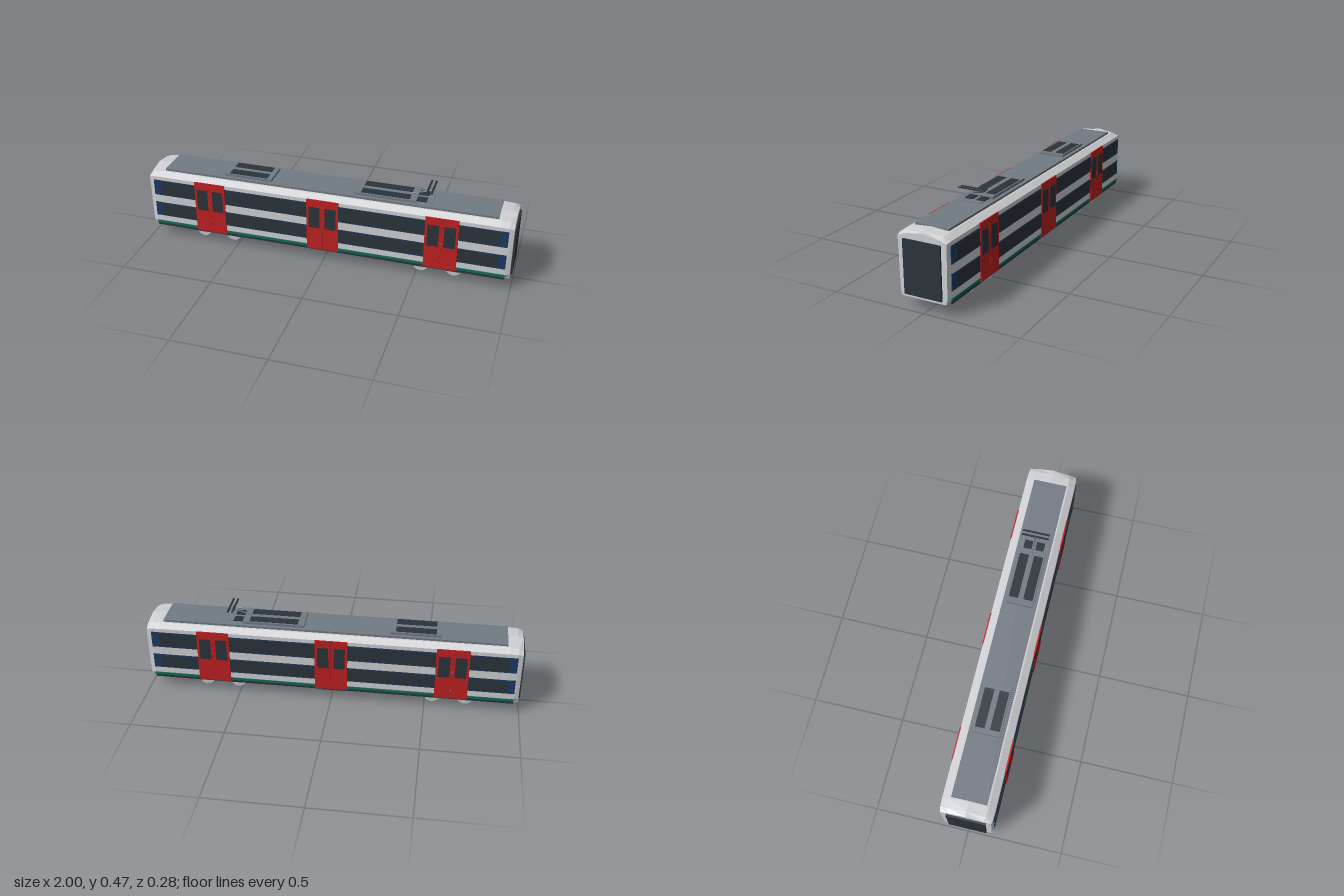
import * as THREE from 'three';

const mat = (name, color, side = THREE.FrontSide) => {
  const m = new THREE.MeshStandardMaterial({ color, side });
  m.name = name;
  return m;
};

export function createModel() {
  const M = {
    body: mat('light grey body', 0xd0d1d4),
    dark: mat('dark glass and equipment', 0x2b343b),
    blue: mat('navy band', 0x1c3a63),
    red: mat('red doors', 0xc02022),
    green: mat('green stripe', 0x0f6e58),
    roof: mat('roof grey', 0x737b83),
    metal: mat('pale metal', 0xc2c5c8),
  };
  const root = new THREE.Group();
  root.name = 'railCar';

  const add = (name, geo, m, parent = root) => {
    const mesh = new THREE.Mesh(geo, m);
    mesh.name = name;
    parent.add(mesh);
    return mesh;
  };
  // Box given by its min and max on each axis
  const box = (name, m, x0, x1, y0, y1, z0, z1, parent = root) => {
    const b = add(name, new THREE.BoxGeometry(x1 - x0, y1 - y0, z1 - z0), m, parent);
    b.position.set((x0 + x1) / 2, (y0 + y1) / 2, (z0 + z1) / 2);
    return b;
  };
  // Round bar between two points
  const rod = (name, m, a, b, r, parent = root) => {
    const p = new THREE.Vector3(...a), d = new THREE.Vector3(...b).sub(p);
    const c = add(name, new THREE.CylinderGeometry(r, r, d.length(), 8), m, parent);
    c.position.copy(p).addScaledVector(d, 0.5);
    c.quaternion.setFromUnitVectors(new THREE.Vector3(0, 1, 0), d.normalize());
    return c;
  };
  const group = (name) => {
    const g = new THREE.Group();
    g.name = name;
    root.add(g);
    return g;
  };

  // Body shell: cross-sections [z, y] lofted along x, narrowing at both ends
  const full = [[0.118, 0.065], [0.136, 0.095], [0.136, 0.369], [0.1, 0.388], [0, 0.396]];
  const end = [[0.118, 0.065], [0.126, 0.09], [0.13, 0.362], [0.09, 0.376], [0, 0.392]];
  const ring = (half) => [...half, ...half.slice(0, -1).reverse().map(([z, y]) => [-z, y])];
  const mix = (t) => full.map(([z, y], i) => [z + (end[i][0] - z) * t, y + (end[i][1] - y) * t]);
  const sections = [[-0.99, 1], [-0.965, 0.25], [-0.92, 0], [0.92, 0], [0.965, 0.25], [0.99, 1]]
    .map(([x, t]) => ring(mix(t)).map(([z, y]) => [x, y, z]));
  const pos = [];
  const n = sections[0].length;
  for (let s = 0; s < sections.length - 1; s++) {
    for (let i = 0; i < n; i++) {
      const j = (i + 1) % n;
      const a = sections[s][i], b = sections[s + 1][i], c = sections[s + 1][j], d = sections[s][j];
      pos.push(...a, ...b, ...c, ...a, ...c, ...d);
    }
  }
  const first = sections[0], last = sections[sections.length - 1];
  for (let i = 1; i < n - 1; i++) {
    pos.push(...first[0], ...first[i], ...first[i + 1]);
    pos.push(...last[0], ...last[i + 1], ...last[i]);
  }
  const shell = new THREE.BufferGeometry();
  shell.setAttribute('position', new THREE.Float32BufferAttribute(pos, 3));
  shell.computeVertexNormals();
  add('bodyShell', shell, M.body);

  // Dark end panels
  for (const s of [-1, 1]) box('endPanel', M.dark, s * 0.994 - 0.006, s * 0.994 + 0.006, 0.08, 0.352, -0.1, 0.1);

  // Sides: window bands, stripe, skirt and doors
  for (const s of [1, -1]) {
    const g = group(s > 0 ? 'frontSide' : 'backSide');
    const plate = (name, m, x0, x1, y0, y1, d0, d1) =>
      box(name, m, x0, x1, y0, y1, Math.min(s * d0, s * d1), Math.max(s * d0, s * d1), g);
    for (const [y0, y1] of [[0.257, 0.348], [0.128, 0.211]]) {
      plate('windowBand', M.blue, -0.965, 0.965, y0, y1, 0.131, 0.1375);
      plate('windowGlass', M.dark, -0.925, 0.925, y0 + 0.005, y1 - 0.005, 0.134, 0.139);
    }
    plate('lowerStripe', M.green, -0.965, 0.965, 0.079, 0.092, 0.13, 0.137);
    plate('skirt', M.dark, -0.965, 0.965, 0.064, 0.076, 0.128, 0.134);
    for (const x of [-0.637, -0.002, 0.63]) {
      for (const k of [-1, 1]) {
        const cx = x + k * 0.0435;
        plate('doorLeaf', M.red, cx - 0.043, cx + 0.043, 0.072, 0.37, 0.13, 0.141);
        plate('doorWindow', M.dark, cx - 0.03, cx + 0.03, 0.204, 0.327, 0.138, 0.1425);
      }
    }
  }

  // Roof plate and equipment units with grilles
  box('roofPlate', M.roof, -0.91, 0.905, 0.388, 0.4, -0.091, 0.091);
  for (const [x0, x1, inset] of [[-0.57, -0.305, 0.027], [0.15, 0.478, 0.035]]) {
    const g = group('roofUnit');
    box('roofUnitCase', M.roof, x0, x1, 0.4, 0.413, -0.072, 0.072, g);
    for (const s of [-1, 1]) {
      box('roofGrille', M.dark, x0 + inset, x1 - inset, 0.408, 0.4145, s * 0.039 - 0.025, s * 0.039 + 0.025, g);
    }
  }

  // Pantograph
  const p = group('pantograph');
  box('pantographBase', M.roof, 0.478, 0.56, 0.4, 0.404, -0.05, 0.05, p);
  for (const s of [-1, 1]) box('baseBeam', M.dark, 0.478, 0.53, 0.403, 0.408, s * 0.033 - 0.022, s * 0.033 + 0.022, p);
  rod('lowerArm', M.roof, [0.44, 0.414, 0], [0.545, 0.445, 0], 0.003, p);
  rod('upperArm', M.roof, [0.545, 0.445, 0], [0.45, 0.462, 0], 0.0025, p);
  rod('headPost', M.roof, [0.545, 0.445, 0], [0.543, 0.461, 0], 0.002, p);
  for (const x of [0.531, 0.555]) {
    box('contactStrip', M.dark, x - 0.005, x + 0.005, 0.463, 0.467, -0.073, 0.073, p);
    rod('headBar', M.roof, [x, 0.461, -0.08], [x, 0.461, 0.08], 0.0018, p);
  }
  box('headBrace', M.roof, 0.53, 0.556, 0.46, 0.463, -0.004, 0.004, p);

  // Underfloor equipment
  box('equipmentCase', M.dark, -0.355, 0.305, 0.037, 0.066, -0.085, 0.085);
  box('centreCase', M.dark, -0.075, 0.055, 0.031, 0.066, -0.092, 0.06);
  box('crossBar', M.metal, -0.03, -0.012, 0.029, 0.04, -0.055, 0.055);

  // Bogies
  for (const x of [-0.627, 0.608]) {
    const g = group('bogie');
    for (const s of [-1, 1]) {
      const ax = x + s * 0.088;
      rod('axle', M.dark, [ax, 0.042, -0.075], [ax, 0.042, 0.075], 0.01, g);
      for (const k of [-1, 1]) {
        const w = add('wheel', new THREE.CylinderGeometry(0.042, 0.042, 0.012, 24), M.metal, g);
        w.rotation.x = Math.PI / 2;
        w.position.set(ax, 0.042, k * 0.071);
        box('axleBox', M.dark, ax - 0.037, ax + 0.037, 0.035, 0.062, k * 0.086 - 0.008, k * 0.086 + 0.008, g);
      }
      box('sideBeam', M.dark, x - 0.08, x + 0.08, 0.045, 0.056, s * 0.086 - 0.007, s * 0.086 + 0.007, g);
      rod('spring', M.metal, [x, 0.04, s * 0.086], [x, 0.066, s * 0.086], 0.012, g);
    }
    box('bolster', M.dark, x - 0.04, x + 0.04, 0.04, 0.066, -0.08, 0.08, g);
  }
  return root;
}
